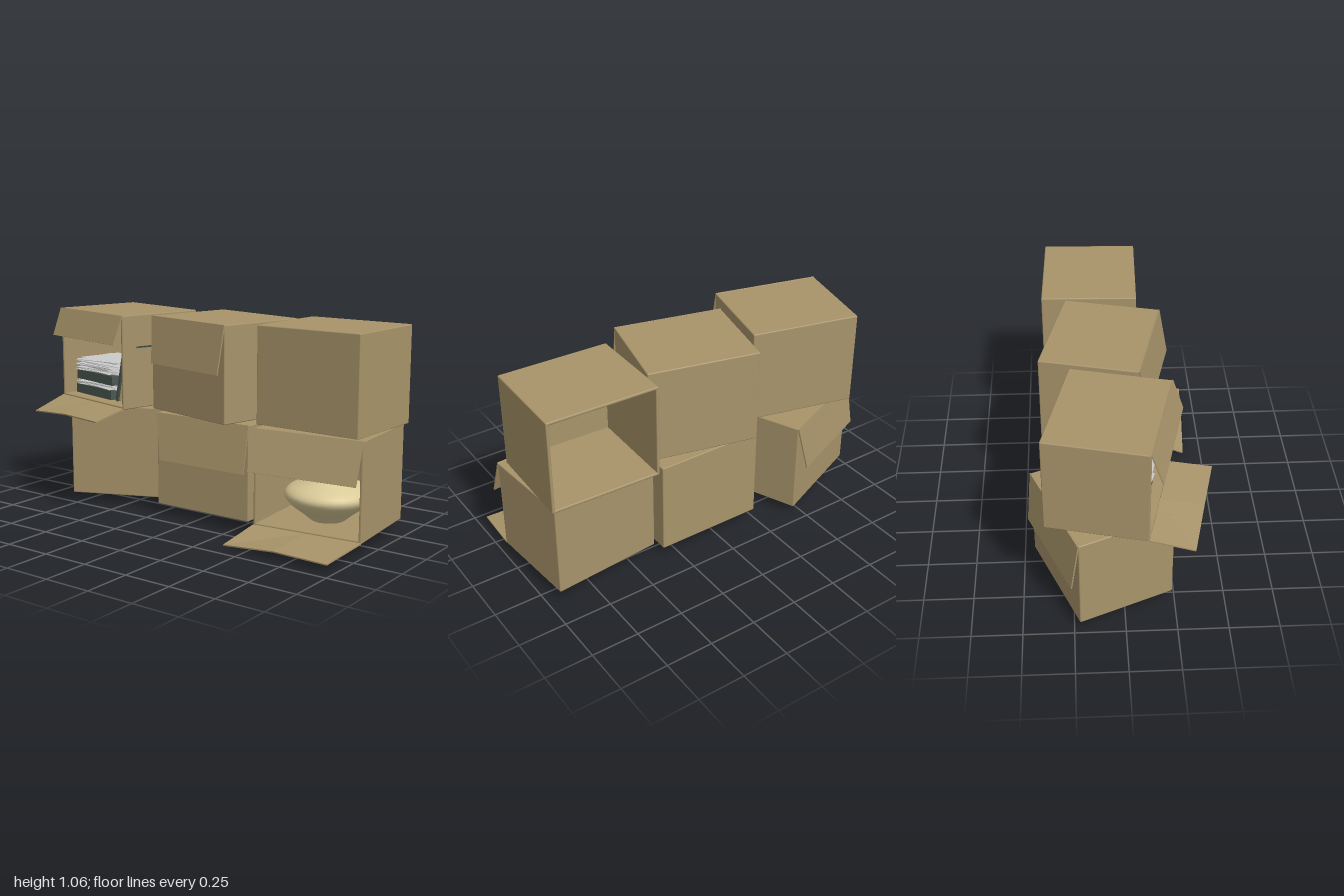
import * as THREE from 'three';
import { RoundedBoxGeometry } from 'three/addons/geometries/RoundedBoxGeometry.js';

const W = 0.585, H = 0.5, D = 0.5, T = 0.016;
const mat = (color) => new THREE.MeshStandardMaterial({ color });
const cardboard = mat(0xa8946a), ceramic = mat(0xd9c997), slate = mat(0x4c5852);
const tan = mat(0xc8b67c), paper = mat(0xcccccc);
ceramic.side = THREE.DoubleSide;

function add(parent, name, geometry, material, x = 0, y = 0, z = 0) {
  const mesh = new THREE.Mesh(geometry, material);
  mesh.name = name;
  mesh.position.set(x, y, z);
  parent.add(mesh);
  return mesh;
}

// Hollow carton standing on its local y = 0; "open" names the missing wall
function carton(root, name, x, y, z, turn, open) {
  const box = new THREE.Group();
  box.name = name;
  box.position.set(x, y, z);
  box.rotation.y = turn;
  const panel = (n, w, h, d, px, py, pz) =>
    add(box, n, new RoundedBoxGeometry(w, h, d, 1, 0.006), cardboard, px, py, pz);
  panel('bottomPanel', W, T, D, 0, T / 2, 0);
  panel('topPanel', W, T, D, 0, H - T / 2, 0);
  for (const s of [-1, 1]) {
    panel(s < 0 ? 'rightWall' : 'leftWall', T, H, D, s * (W - T) / 2, H / 2, 0);
    const side = s < 0 ? 'back' : 'front';
    if (side !== open) panel(side + 'Wall', W, H, T, 0, H / 2, s * (D - T) / 2);
  }
  root.add(box);
  return box;
}

// Thin flap from a hinge edge to three tip points, with a slight bend in the middle
function flap(box, name, hingeY, hingeZ, tips) {
  const geometry = new THREE.BoxGeometry(1, 1, 1, 2, 1, 1);
  const p = geometry.attributes.position;
  const pts = tips.map((t) => new THREE.Vector3(...t));
  const hinges = [-1, 0, 1].map((s) => new THREE.Vector3(s * W / 2, hingeY, hingeZ));
  const normal = pts[1].clone().sub(hinges[1]).cross(new THREE.Vector3(1, 0, 0)).normalize();
  // Keep the faces pointing outwards whichever way the flap hangs
  for (let i = 0; i < p.count; i++) {
    const k = Math.round((p.getX(i) + 0.5) * 2);
    const v = (p.getZ(i) > 0 ? pts[k] : hinges[k]).clone();
    v.addScaledVector(normal, p.getY(i) * 0.007);
    p.setXYZ(i, v.x, v.y, v.z);
  }
  const flat = geometry.toNonIndexed();
  flat.computeVertexNormals();
  return add(box, name, flat, cardboard);
}

// Flap hanging from a top edge: tip x range, drop and outward distance
function hangingFlap(box, name, x0, x1, drop, out, side = 1) {
  const tip = (x) => [x, H - drop, side * (D / 2 + out)];
  flap(box, name, H, side * D / 2, [tip(x0), tip((x0 + x1) / 2), tip(x1)]);
}

let seed = 7;
function jitter(range) {
  seed = (seed * 16807) % 2147483647;
  return (seed / 2147483647 - 0.5) * 2 * range;
}

// Two thick volumes with fanned sheets, loose papers on top, and leaning books
function addBooks(box) {
  const books = new THREE.Group();
  books.name = 'books';
  const layer = (name, w, h, d, material, y, spread) => {
    const m = add(books, name, new THREE.BoxGeometry(w, h, d), material,
      -0.065 + jitter(spread * 0.1), y, 0.05 + jitter(spread * 0.1));
    m.rotation.set(jitter(spread * 0.12), jitter(spread), jitter(spread * 0.12));
  };
  let y = T + 0.004;
  for (let b = 0; b < 2; b++) {
    layer('bookBody', 0.35, 0.052, 0.28, slate, y + 0.026, 0.04);
    y += 0.055;
    for (let i = 0; i < 5; i++, y += 0.005) layer('sheet', 0.34, 0.003, 0.28, paper, y, 0.16);
  }
  for (let i = 0; i < 8; i++, y += 0.006) layer('looseSheet', 0.34, 0.003, 0.27, paper, y, 0.2);
  for (let i = 0; i < 4; i++) {
    const m = add(books, 'leaningBook', new THREE.BoxGeometry(0.018, 0.36 - i * 0.012, 0.25),
      i === 1 ? tan : slate, 0.18 + i * 0.022, 0.195 - i * 0.006, 0.06 - i * 0.008);
    m.rotation.z = -0.25;
  }
  box.add(books);
}

// Wide-bellied vase on a small foot
function addVase(box) {
  const curve = new THREE.SplineCurve([
    [0.085, 0.018], [0.1, 0.028], [0.125, 0.05], [0.195, 0.105], [0.222, 0.148],
    [0.2, 0.185], [0.13, 0.225], [0.09, 0.26], [0.078, 0.295], [0.09, 0.335], [0.11, 0.36],
  ].map(([r, h]) => new THREE.Vector2(r, h)));
  const profile = [new THREE.Vector2(0, 0.018), ...curve.getPoints(30)];
  add(box, 'vase', new THREE.LatheGeometry(profile, 32), ceramic);
}

export function createModel() {
  const root = new THREE.Group();
  root.name = 'cartonStack';

  // Lower row
  const lowerRight = carton(root, 'lowerRightCarton', -0.615, 0.05, -0.105, 0.4);
  hangingFlap(lowerRight, 'backFlap', -0.292, 0.246, 0.25, 0.04, -1);

  const lowerMiddle = carton(root, 'lowerMiddleCarton', 0.043, 0.055, -0.1, 0);
  hangingFlap(lowerMiddle, 'frontFlap', -0.245, 0.29, 0.245, 0.04);

  const lowerLeft = carton(root, 'lowerLeftCarton', 0.67, 0.06, -0.075, 0.085, 'front');
  hangingFlap(lowerLeft, 'upperFlap', -0.285, 0.29, 0.205, 0.075);
  flap(lowerLeft, 'lowerFlap', 0.004, D / 2,
    [[-0.349, -0.056, 0.447], [-0.05, -0.026, 0.49], [0.246, -0.026, 0.528]]);
  addVase(lowerLeft);

  // Upper row
  const upperRight = carton(root, 'upperRightCarton', -0.63, 0.562, -0.07, -0.237, 'front');
  hangingFlap(upperRight, 'upperFlap', -0.292, 0.285, 0.15, 0.055);
  flap(upperRight, 'lowerFlap', 0.004, D / 2,
    [[-0.25, -0.058, 0.461], [0.045, -0.034, 0.46], [0.337, -0.032, 0.459]]);
  addBooks(upperRight);

  const upperMiddle = carton(root, 'upperMiddleCarton', 0.015, 0.557, -0.085, -0.235);
  hangingFlap(upperMiddle, 'frontFlap', -0.24, 0.29, 0.245, 0.045);

  carton(root, 'upperLeftCarton', 0.658, 0.557, -0.125, -0.03, 'back');
  return root;
}
